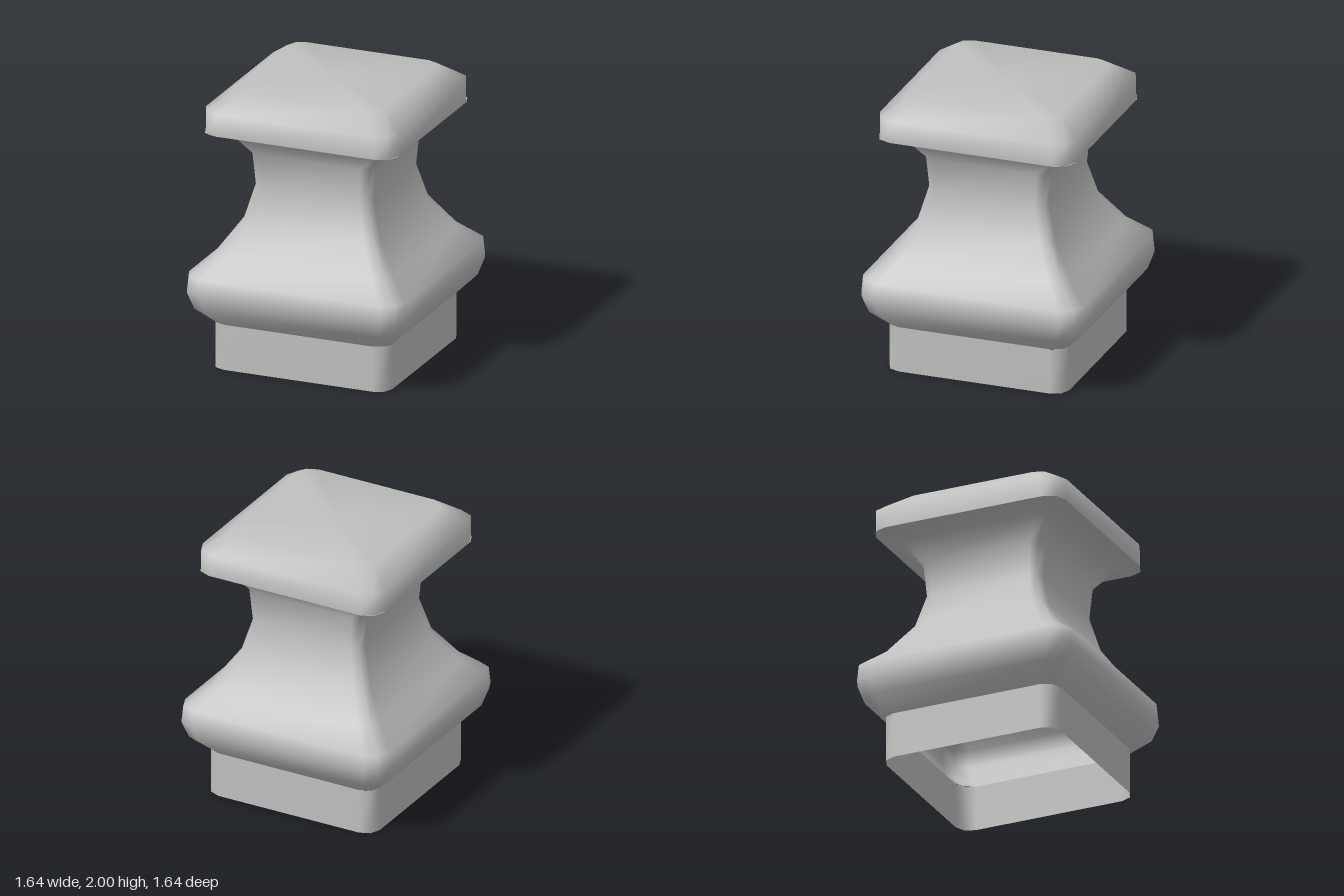
import * as THREE from 'three';

const CORNER_STEPS = 2;

// Rounded-square ring: half-width h at height y, with corner radius r
function ring(h, y, r) {
  const points = [];
  for (let corner = 0; corner < 4; corner++) {
    const mid = Math.PI / 4 + corner * Math.PI / 2;
    const cx = Math.sign(Math.cos(mid)) * (h - r);
    const cz = Math.sign(Math.sin(mid)) * (h - r);
    for (let s = 0; s <= CORNER_STEPS; s++) {
      const a = (corner + s / CORNER_STEPS) * Math.PI / 2;
      points.push(cx + Math.cos(a) * r, y, cz + Math.sin(a) * r);
    }
  }
  return points;
}

// Smooth skin through rings listed from bottom to top, optionally closed above
function loft(profile, roundness, closeTop = false) {
  const n = 4 * (CORNER_STEPS + 1);
  const positions = profile.flatMap(([h, y]) => ring(h, y, h * roundness));
  const index = [];
  for (let j = 0; j < profile.length - 1; j++) {
    for (let i = 0; i < n; i++) {
      const a = j * n + i, b = j * n + (i + 1) % n;
      index.push(a, a + n, b, b, a + n, b + n);
    }
  }
  if (closeTop) {
    const last = profile.length - 1;
    const centre = positions.length / 3;
    positions.push(0, profile[last][1], 0);
    for (let i = 0; i < n; i++) index.push(centre, last * n + (i + 1) % n, last * n + i);
  }
  const geometry = new THREE.BufferGeometry();
  geometry.setAttribute('position', new THREE.Float32BufferAttribute(positions, 3));
  geometry.setIndex(index);
  geometry.computeVertexNormals();
  return geometry;
}

export function createModel() {
  const group = new THREE.Group();
  group.name = 'postFinial';
  const grey = new THREE.MeshStandardMaterial({ color: 0xc0c0c0, side: THREE.DoubleSide });
  grey.name = 'grey';

  const add = (name, geometry) => {
    const mesh = new THREE.Mesh(geometry, grey);
    mesh.name = name;
    group.add(mesh);
  };

  // Hollow collar, open at the bottom
  add('collar', loft([[0.66, 0], [0.66, 0.33]], 0.16));

  // Bulging body that narrows to a neck and flares under the cap
  add('body', loft([
    [0.66, 0.33], [0.78, 0.45], [0.82, 0.57], [0.81, 0.69], [0.66, 0.825],
    [0.505, 1.05], [0.44, 1.29], [0.46, 1.53], [0.565, 1.67], [0.72, 1.72],
  ], 0.17));

  // Bevelled cap
  add('cap', loft([[0.72, 1.72], [0.72, 1.88], [0.56, 2]], 0.19, true));

  return group;
}
